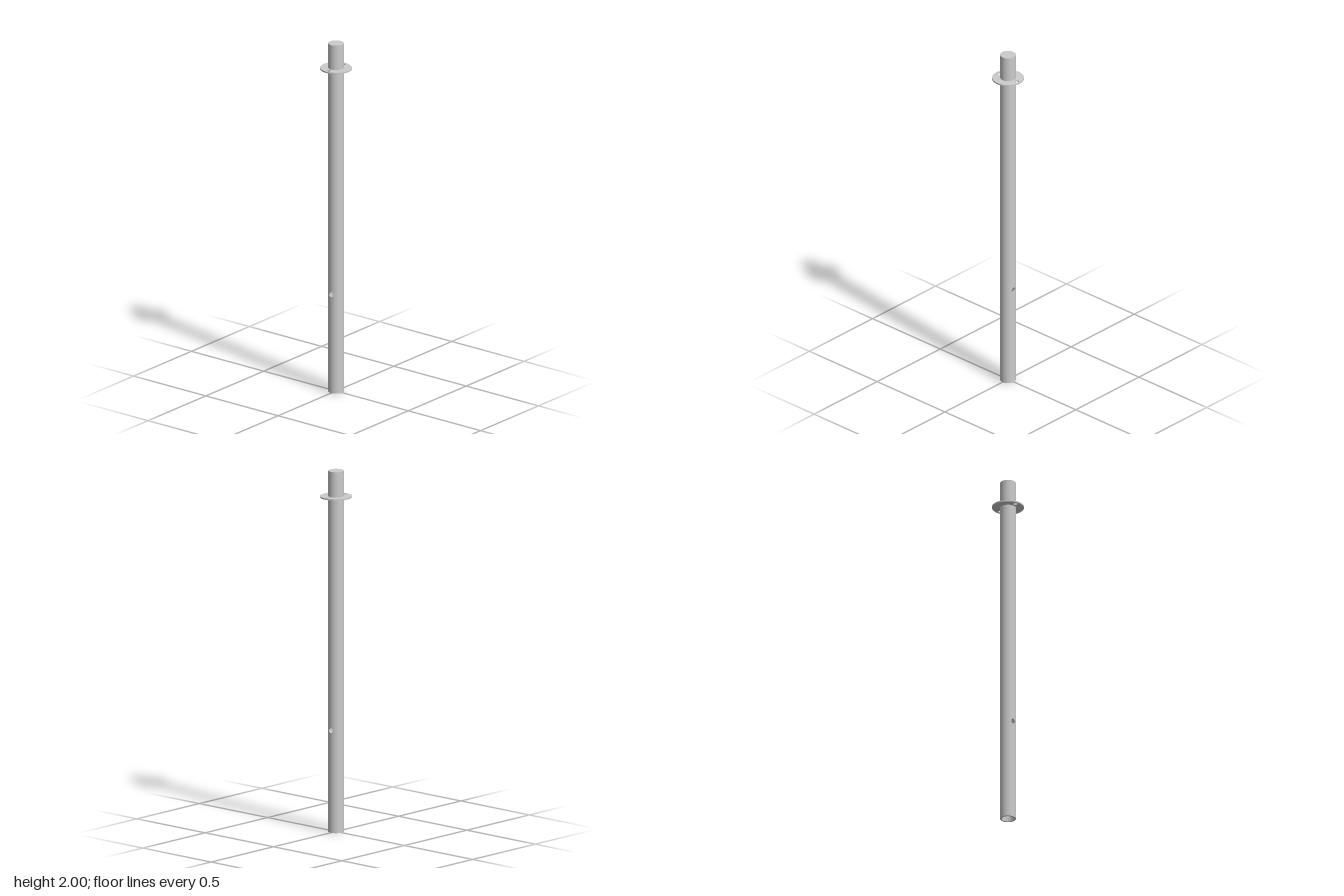
import * as THREE from 'three';
import { ParametricGeometry } from 'three/addons/geometries/ParametricGeometry.js';

const R = 0.043, INNER = 0.034, TOP = 2, CEILING = 1.98;
const HOLE_Y = 0.567, HOLE_R = 0.014, WINDOW = 0.021; // cross-drilled hole and the square patch round it
const material = new THREE.MeshStandardMaterial({ color: 0xcccccc });

function add(group, name, geometry) {
  const mesh = new THREE.Mesh(geometry, material);
  mesh.name = name;
  group.add(mesh);
  return mesh;
}

// Surface swept round the pole axis from one profile point to another
function band(r0, y0, r1, y1, start = 0, length = Math.PI * 2) {
  const points = [new THREE.Vector2(r0, y0), new THREE.Vector2(r1, y1)];
  return new THREE.LatheGeometry(points, Math.ceil(64 * length / (Math.PI * 2)), start, length);
}

// Point on a cylinder of radius r, on the +x or -x side
function onWall(side, r, distance, angle, target) {
  const z = Math.cos(angle) * distance;
  target.set(side * Math.sqrt(r * r - z * z), HOLE_Y + Math.sin(angle) * distance, z);
}

// Curved square of wall with a round hole in it
function holePatch(side, r, facing) {
  return new ParametricGeometry((u, v, target) => {
    const angle = u * Math.PI * 2 * side * facing;
    const edge = WINDOW / Math.max(Math.abs(Math.cos(angle)), Math.abs(Math.sin(angle)));
    onWall(side, r, HOLE_R + (edge - HOLE_R) * v, angle, target);
  }, 32, 4);
}

// Bore of the hole through the wall thickness
function holeLining(side) {
  return new ParametricGeometry((u, v, target) => {
    onWall(side, INNER + (R - INNER) * v, HOLE_R, u * Math.PI * 2 * side, target);
  }, 32, 1);
}

function createPole() {
  const pole = new THREE.Group();
  pole.name = 'pole';
  const low = HOLE_Y - WINDOW, high = HOLE_Y + WINDOW;

  // Plain lengths below and above the cross hole, with the ends
  add(pole, 'lowerOuterWall', band(R, 0, R, low));
  add(pole, 'upperOuterWall', band(R, high, R, TOP));
  add(pole, 'lowerInnerWall', band(INNER, low, INNER, 0));
  add(pole, 'upperInnerWall', band(INNER, CEILING, INNER, high));
  add(pole, 'bottomRim', band(INNER, 0, R, 0));
  add(pole, 'topCap', band(R, TOP, 0, TOP));
  add(pole, 'innerCeiling', band(0, CEILING, INNER, CEILING));

  // Length holding the cross hole: front and back walls, then drilled sides
  const outer = Math.asin(WINDOW / R), inner = Math.asin(WINDOW / INNER);
  for (const side of [1, -1]) {
    const start = side * Math.PI / 2;
    add(pole, 'holeBandOuter', band(R, low, R, high, start + outer, Math.PI - 2 * outer));
    add(pole, 'holeBandInner', band(INNER, high, INNER, low, start + inner, Math.PI - 2 * inner));
    add(pole, 'holeSideOuter', holePatch(side, R, 1));
    add(pole, 'holeSideInner', holePatch(side, INNER, -1));
    add(pole, 'holeLining', holeLining(side));
  }
  return pole;
}

// Thin round plate with two bolt holes
function createFlange() {
  const shape = new THREE.Shape().absarc(0, 0, 0.086, 0, Math.PI * 2);
  const holes = [[0, R - 0.001], [0.065, 0.012], [-0.065, 0.012]];
  for (const [x, r] of holes) shape.holes.push(new THREE.Path().absarc(x, 0, r, 0, Math.PI * 2, true));
  const geometry = new THREE.ExtrudeGeometry(shape, { depth: 0.008, bevelEnabled: false, curveSegments: 64 });
  return geometry.rotateX(-Math.PI / 2);
}

export function createModel() {
  const model = new THREE.Group();
  model.name = 'flangedPole';
  model.add(createPole());
  add(model, 'flange', createFlange()).position.y = 1.852;
  return model;
}
